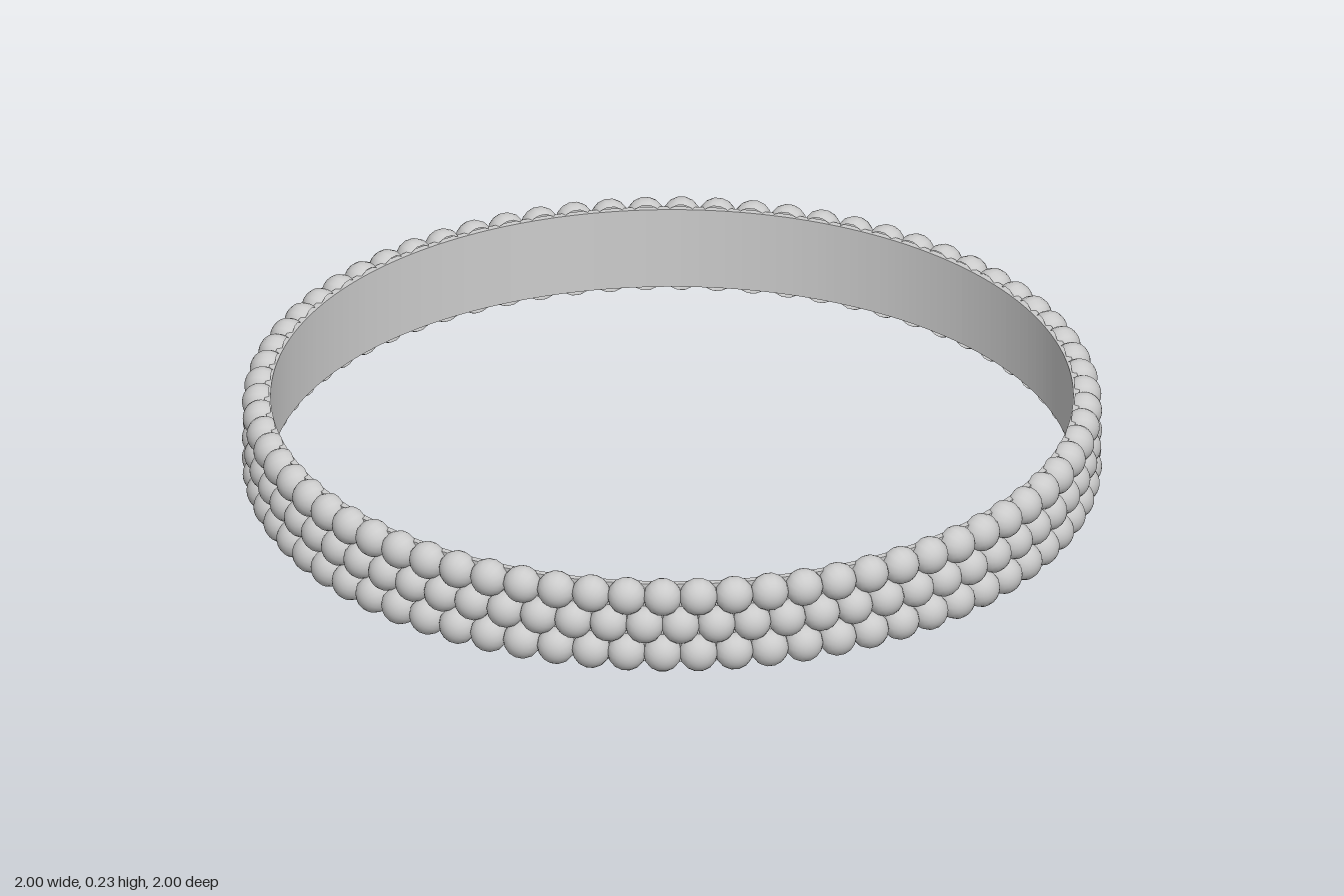
import * as THREE from 'three';
import { mergeGeometries } from 'three/addons/utils/BufferGeometryUtils.js';

const BEADS = 72;          // beads in one row
const BEAD_RADIUS = 0.045;
const BEAD_DEPTH = 0.042;  // radial half-depth
const RING_RADIUS = 0.957; // radius of the bead centres

// Domed bead with its pole along +z, cut open at the back where it meets the band
function beadGeometry() {
  const bead = new THREE.SphereGeometry(1, 14, 9, 0, Math.PI * 2, 0, Math.PI * 0.67);
  bead.rotateX(Math.PI / 2);
  bead.scale(BEAD_RADIUS, BEAD_RADIUS, BEAD_DEPTH);
  return bead;
}

// One circle of beads at height y, turned by a fraction of the bead spacing
function beadRow(y, shift) {
  const bead = beadGeometry();
  const parts = [];
  for (let i = 0; i < BEADS; i++) {
    const angle = ((i + shift) / BEADS) * Math.PI * 2;
    parts.push(bead.clone().translate(0, y, RING_RADIUS).rotateY(angle));
  }
  return mergeGeometries(parts);
}

export function createModel() {
  const group = new THREE.Group();
  const material = new THREE.MeshStandardMaterial({ color: 0xcccccc, side: THREE.DoubleSide });

  // Smooth inner band
  const shape = new THREE.Shape();
  shape.absarc(0, 0, 0.947, 0, Math.PI * 2);
  const hole = new THREE.Path();
  hole.absarc(0, 0, 0.932, 0, Math.PI * 2, true);
  shape.holes.push(hole);
  const bandGeometry = new THREE.ExtrudeGeometry(shape, { depth: 0.202, bevelEnabled: false, curveSegments: 144 });
  bandGeometry.rotateX(-Math.PI / 2);
  const band = new THREE.Mesh(bandGeometry, material);
  band.position.y = 0.017;
  band.name = 'innerBand';
  group.add(band);

  // Three staggered rows of beads
  const rows = [['lowerBeads', 0.045, 0], ['middleBeads', 0.118, 0.5], ['upperBeads', 0.191, 0]];
  for (const [name, y, shift] of rows) {
    const row = new THREE.Mesh(beadRow(y, shift), material);
    row.name = name;
    group.add(row);
  }
  return group;
}
